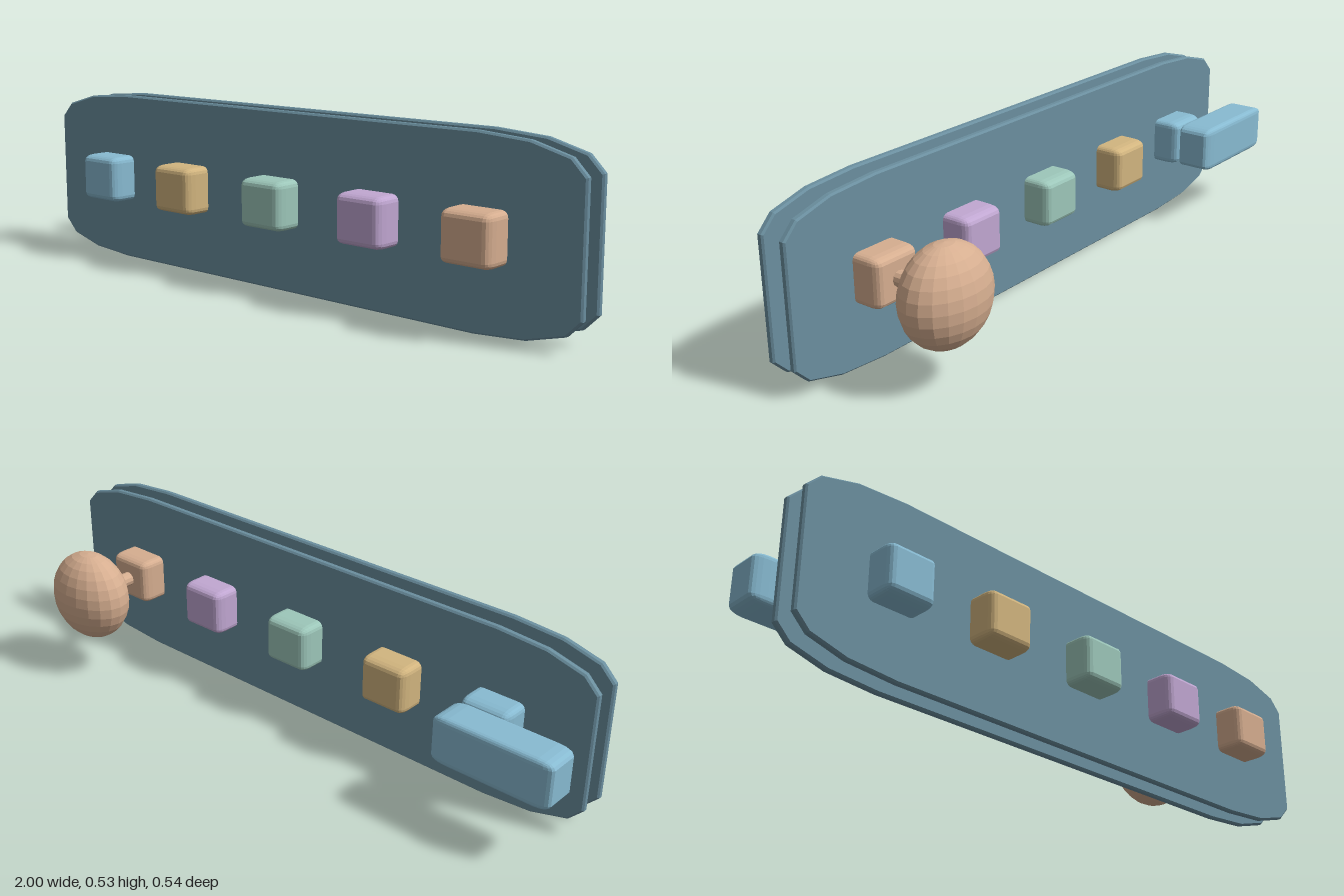
import * as THREE from 'three';
import { RoundedBoxGeometry } from 'three/addons/geometries/RoundedBoxGeometry.js';

const mat = (name, color) => {
  const m = new THREE.MeshStandardMaterial({ color, flatShading: true });
  m.name = name;
  return m;
};

export function createModel() {
  const group = new THREE.Group();
  const slate = mat('slate', 0x6b8f9f);
  const blue = mat('sky blue', 0x88bbd2);
  const sand = mat('sand', 0xd2b57f);
  const mint = mat('mint', 0x9dc7ba);
  const lilac = mat('lilac', 0xc1a7d2);
  const peach = mat('peach', 0xd6ae90);

  const add = (name, geometry, material, x, y, z) => {
    const mesh = new THREE.Mesh(geometry, material);
    mesh.name = name;
    mesh.position.set(x, y, z);
    group.add(mesh);
    return mesh;
  };

  // Unit box with rounded edges, stretched to size
  const block = (w, h, d) => new RoundedBoxGeometry(1, 1, 1, 2, 0.13).scale(w, h, d);

  // Two long plates with flattened, elliptical three-step corners
  const bevel = 0.005;
  const hw = 0.995 - bevel, hh = 0.265 - bevel, rx = 0.31, ry = 0.085;
  const outline = [];
  for (let q = 0; q < 4; q++) {
    const sx = q === 0 || q === 3 ? 1 : -1, sy = q < 2 ? 1 : -1;
    for (let i = 0; i <= 3; i++) {
      const a = (q + i / 3) * Math.PI / 2;
      outline.push(new THREE.Vector2(
        sx * (hw - rx) + rx * Math.cos(a), sy * (hh - ry) + ry * Math.sin(a)));
    }
  }
  const plate = new THREE.ExtrudeGeometry(new THREE.Shape(outline), {
    depth: 0.012, bevelEnabled: true, bevelSize: bevel, bevelThickness: bevel, bevelSegments: 1,
  });
  plate.translate(0, 0, -0.006);
  add('frontPlate', plate, slate, 0.003, 0.266, 0.174);
  add('backPlate', plate, slate, 0.003, 0.266, 0.094);

  // Row of coloured pegs passing through both plates
  const peg = block(0.155, 0.144, 0.276);
  [[-0.71, blue], [-0.368, sand], [0.002, mint], [0.362, lilac], [0.705, peach]]
    .forEach(([x, m], i) => add('peg' + (i + 1), peg, m, x, 0.266, 0.134));

  // Bar handle behind the first peg
  add('barHandle', block(0.37, 0.144, 0.118), blue, -0.815, 0.266, -0.068);

  // Knob and stem behind the last peg
  const stem = new THREE.CylinderGeometry(0.023, 0.023, 0.11, 12).rotateX(Math.PI / 2);
  add('knobStem', stem, peach, 0.705, 0.267, -0.045);
  const knob = new THREE.SphereGeometry(0.145, 20, 14).scale(1, 1, 0.72);
  add('knob', knob, peach, 0.705, 0.267, -0.167);

  return group;
}
